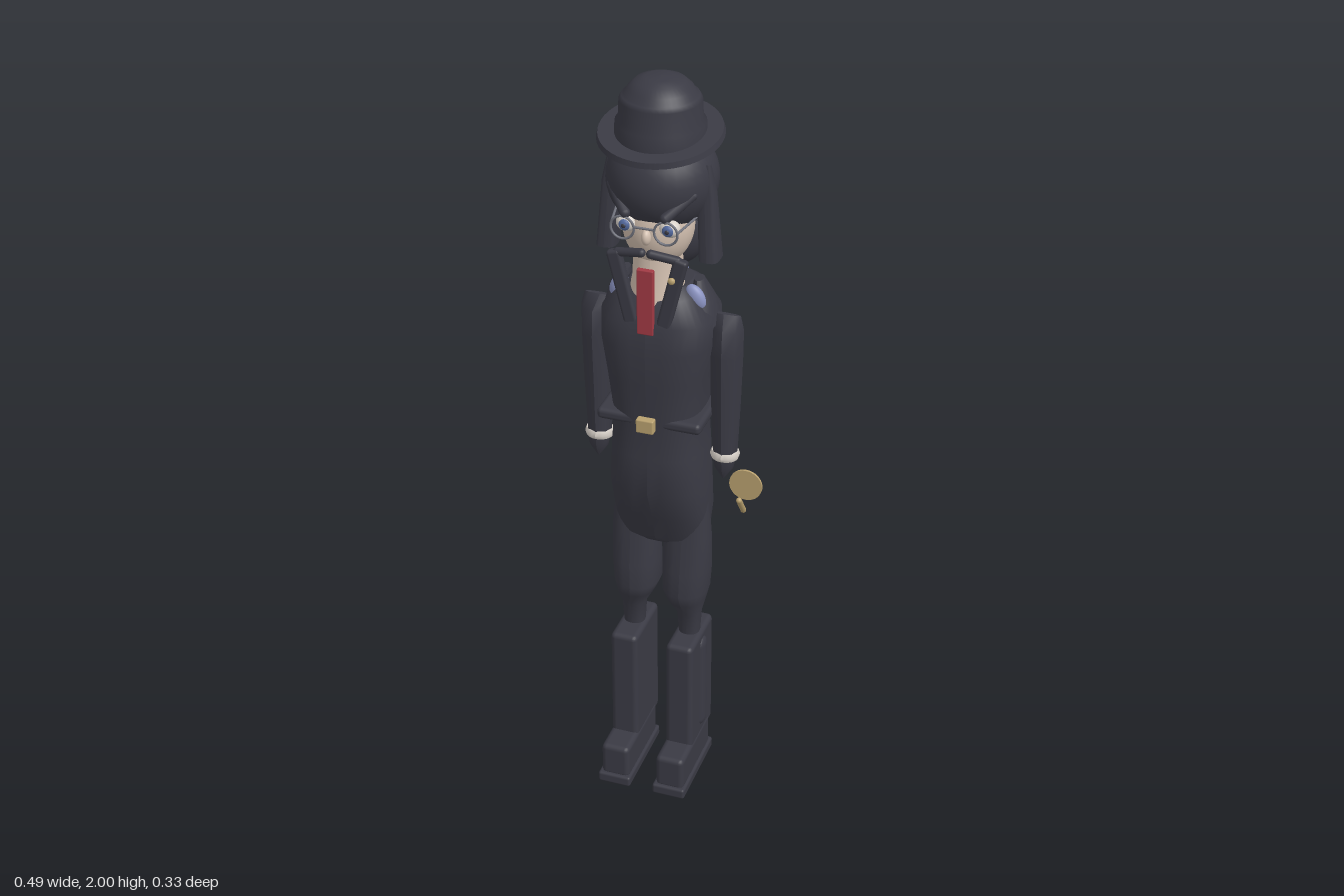
import * as THREE from 'three';
import { RoundedBoxGeometry } from 'three/addons/geometries/RoundedBoxGeometry.js';

const mat = (name, color) => {
  const m = new THREE.MeshStandardMaterial({ color });
  m.name = name;
  return m;
};

export function createModel() {
  const dark = mat('charcoal cloth', 0x3a3a44), skin = mat('skin', 0xd3c0b0);
  const white = mat('cuff white', 0xd9d2ca), gold = mat('brass', 0xb9a16f);
  const red = mat('tie red', 0xa23a44), lavender = mat('collar lavender', 0x8a92c0);
  const blue = mat('iris blue', 0x52689c), steel = mat('spectacle steel', 0x70727c);

  const model = new THREE.Group();
  model.name = 'figure';
  const body = new THREE.Group();
  body.name = 'body';
  body.position.x = -0.033;
  model.add(body);

  const add = (name, geo, m, x = 0, y = 0, z = 0, parent = body) => {
    const mesh = new THREE.Mesh(geo, m);
    mesh.name = name;
    mesh.position.set(x, y, z);
    parent.add(mesh);
    return mesh;
  };
  const ball = (name, m, x, y, z, rx, ry, rz) => {
    const mesh = add(name, new THREE.SphereGeometry(1, 32, 20), m, x, y, z);
    mesh.scale.set(rx, ry, rz);
    return mesh;
  };
  const box = (name, m, x, y, z, w, h, d, r = 0.01) =>
    add(name, new RoundedBoxGeometry(w, h, d, 2, r), m, x, y, z);
  // Rings from top to bottom: [y, centre x, centre z, radius x, radius z]; power < 1 squares them off
  const loft = (name, m, rings, sides = 28, power = 1) => {
    const rows = rings.length - 1;
    const geo = new THREE.CylinderGeometry(1, 1, 1, sides, rows);
    const p = geo.attributes.position;
    const bend = (v) => Math.sign(v) * Math.pow(Math.abs(v), power);
    for (let i = 0; i < p.count; i++) {
      const [y, cx, cz, rx, rz] = rings[Math.round((0.5 - p.getY(i)) * rows)];
      p.setXYZ(i, cx + bend(p.getX(i)) * rx, y, cz + bend(p.getZ(i)) * rz);
    }
    geo.computeVertexNormals();
    return add(name, geo, m);
  };
  // Capsule between two points
  const rod = (name, m, a, b, r, parent = body) => {
    const A = new THREE.Vector3(...a), B = new THREE.Vector3(...b);
    const dir = B.clone().sub(A);
    const mesh = add(name, new THREE.CapsuleGeometry(r, dir.length(), 6, 14), m, 0, 0, 0, parent);
    mesh.position.copy(A).add(B).multiplyScalar(0.5);
    mesh.quaternion.setFromUnitVectors(new THREE.Vector3(0, 1, 0), dir.normalize());
    return mesh;
  };

  // Hat: tilted brim and stepped crown
  const brim = add('hatBrim', new THREE.CylinderGeometry(0.148, 0.152, 0.014, 48), dark, 0, 1.863, -0.012);
  brim.rotation.x = 0.17;
  const crown = [[0.11, 1.85], [0.108, 1.89], [0.1, 1.9], [0.098, 1.945], [0.092, 1.955], [0.086, 1.957],
    [0.078, 1.972], [0.06, 1.989], [0.035, 1.998], [0, 2]];
  add('hatCrown', new THREE.LatheGeometry(crown.map((c) => new THREE.Vector2(...c)), 40), dark, 0, 0, -0.013);

  // Head and hair
  ball('hairCap', dark, 0, 1.745, -0.025, 0.136, 0.13, 0.136);
  ball('hairBun', dark, 0, 1.592, -0.08, 0.1, 0.105, 0.076);
  ball('face', skin, 0, 1.64, 0.005, 0.088, 0.11, 0.088);
  ball('nose', skin, 0, 1.635, 0.092, 0.012, 0.02, 0.016);
  loft('neck', skin, [[1.6, 0, 0.01, 0.06, 0.055], [1.5, 0, 0.01, 0.062, 0.06], [1.4, 0, 0.02, 0.08, 0.075]]);

  for (const s of [-1, 1]) {
    loft('sideLock', dark, [[1.8, s * 0.11, 0, 0.018, 0.008], [1.73, s * 0.119, 0, 0.022, 0.022],
      [1.56, s * 0.13, 0, 0.025, 0.035]], 16, 0.6);
    rod('browTuft', dark, [s * 0.1, 1.74, 0.05], [s * 0.05, 1.695, 0.1], 0.013);
    // Eyes behind round spectacles
    ball('eyeWhite', white, s * 0.054, 1.66, 0.078, 0.026, 0.022, 0.02);
    ball('iris', blue, s * 0.054, 1.66, 0.094, 0.014, 0.014, 0.008);
    ball('pupil', dark, s * 0.054, 1.66, 0.1, 0.006, 0.006, 0.004);
    add('spectacleRim', new THREE.TorusGeometry(0.029, 0.003, 8, 28), steel, s * 0.054, 1.66, 0.108);
    rod('spectacleArm', steel, [s * 0.083, 1.665, 0.106], [s * 0.1, 1.67, 0.02], 0.003);
    rod('moustache', dark, [s * 0.012, 1.594, 0.095], [s * 0.075, 1.582, 0.085], 0.011);
    // Long strips falling from the jaw to the chest
    const strip = box('beardStrip', dark, s * 0.062, 1.49, 0.086, 0.036, 0.2, 0.024, 0.008);
    strip.rotation.z = -s * 0.24;
    const point = ball('collarPoint', lavender, s * 0.098, 1.455, 0.015, 0.022, 0.035, 0.016);
    point.rotation.z = s * 0.5;
  }
  rod('spectacleBridge', steel, [-0.025, 1.665, 0.108], [0.025, 1.665, 0.108], 0.003);
  box('tie', red, 0, 1.467, 0.1, 0.042, 0.174, 0.014, 0.003);
  ball('pin', gold, 0.066, 1.535, 0.102, 0.009, 0.009, 0.007);
  const tail = ball('backCollar', lavender, 0, 1.445, -0.108, 0.042, 0.065, 0.024);
  tail.rotation.x = 0.4;

  // Coat
  loft('coat', dark, [
    [1.48, 0, -0.02, 0.075, 0.065], [1.46, 0, -0.018, 0.1, 0.095], [1.4, 0, -0.015, 0.143, 0.117],
    [1.33, 0, -0.014, 0.143, 0.123], [1.24, 0, -0.013, 0.128, 0.12], [1.12, 0, -0.013, 0.114, 0.108],
    [1.02, 0, -0.013, 0.12, 0.111], [0.92, 0, -0.012, 0.125, 0.113], [0.82, 0, -0.03, 0.126, 0.09],
    [0.75, 0, -0.036, 0.118, 0.078], [0.73, 0, -0.036, 0.098, 0.062]], 36, 0.72);
  box('belt', dark, 0, 1.126, -0.018, 0.272, 0.03, 0.222, 0.012);
  box('buckle', gold, 0, 1.126, 0.106, 0.046, 0.038, 0.022, 0.004);

  for (const s of [-1, 1]) {
    // Shoulder, arm, cuff and pointed hand
    loft('shoulder', dark, [[1.49, s * 0.095, -0.02, 0.012, 0.02], [1.44, s * 0.105, -0.02, 0.03, 0.045],
      [1.38, s * 0.115, -0.02, 0.035, 0.06]], 12);
    const x = s * 0.168;
    loft('arm', dark, [[1.405, s * 0.16, -0.018, 0.042, 0.006], [1.37, x, -0.016, 0.043, 0.04],
      [1.3, x, -0.015, 0.043, 0.044], [1.16, x, -0.014, 0.039, 0.036], [1.02, x, -0.014, 0.033, 0.031]], 8);
    loft('cuff', white, [[1.022, x, -0.014, 0.034, 0.03], [1.011, x, -0.014, 0.038, 0.036],
      [0.999, x, -0.014, 0.034, 0.03]], 24);
    loft('hand', dark, [[1, x, -0.01, 0.029, 0.026], [0.975, x, -0.008, 0.025, 0.022],
      [0.943, x, -0.004, 0.003, 0.004]], 12);

    // Baggy trouser leg
    const l = s * 0.0775;
    loft('trouserLeg', dark, [
      [0.93, s * 0.07, -0.015, 0.05, 0.03], [0.75, s * 0.07, -0.015, 0.062, 0.05],
      [0.65, s * 0.069, -0.016, 0.063, 0.066], [0.58, s * 0.067, -0.016, 0.06, 0.069],
      [0.55, s * 0.07, -0.014, 0.05, 0.06], [0.505, s * 0.077, -0.012, 0.032, 0.033],
      [0.43, s * 0.077, -0.013, 0.027, 0.028]], 24, 0.85);

    // Tall boot with side bulge, foot and sole
    box('bootShaft', dark, l, 0.265, -0.01, 0.074, 0.35, 0.18, 0.014);
    const bulge = add('bootBulge', new THREE.CapsuleGeometry(0.026, 0.24, 6, 16), dark, l + s * 0.033, 0.275, -0.013);
    bulge.scale.x = 0.5;
    box('bootFoot', dark, l, 0.07, 0.042, 0.078, 0.1, 0.23, 0.014);
    box('bootSole', dark, l, 0.015, 0.043, 0.091, 0.03, 0.247, 0.007);
  }

  // Cane head: flat disc with a slanting grip
  const disc = add('guardDisc', new THREE.CylinderGeometry(0.043, 0.043, 0.006, 36), gold, 0.2, 0.945, 0.014, model);
  disc.rotation.x = Math.PI / 2;
  rod('grip', gold, [0.2, 0.932, 0.069], [0.2, 0.88, 0.031], 0.0075, model);

  return model;
}
